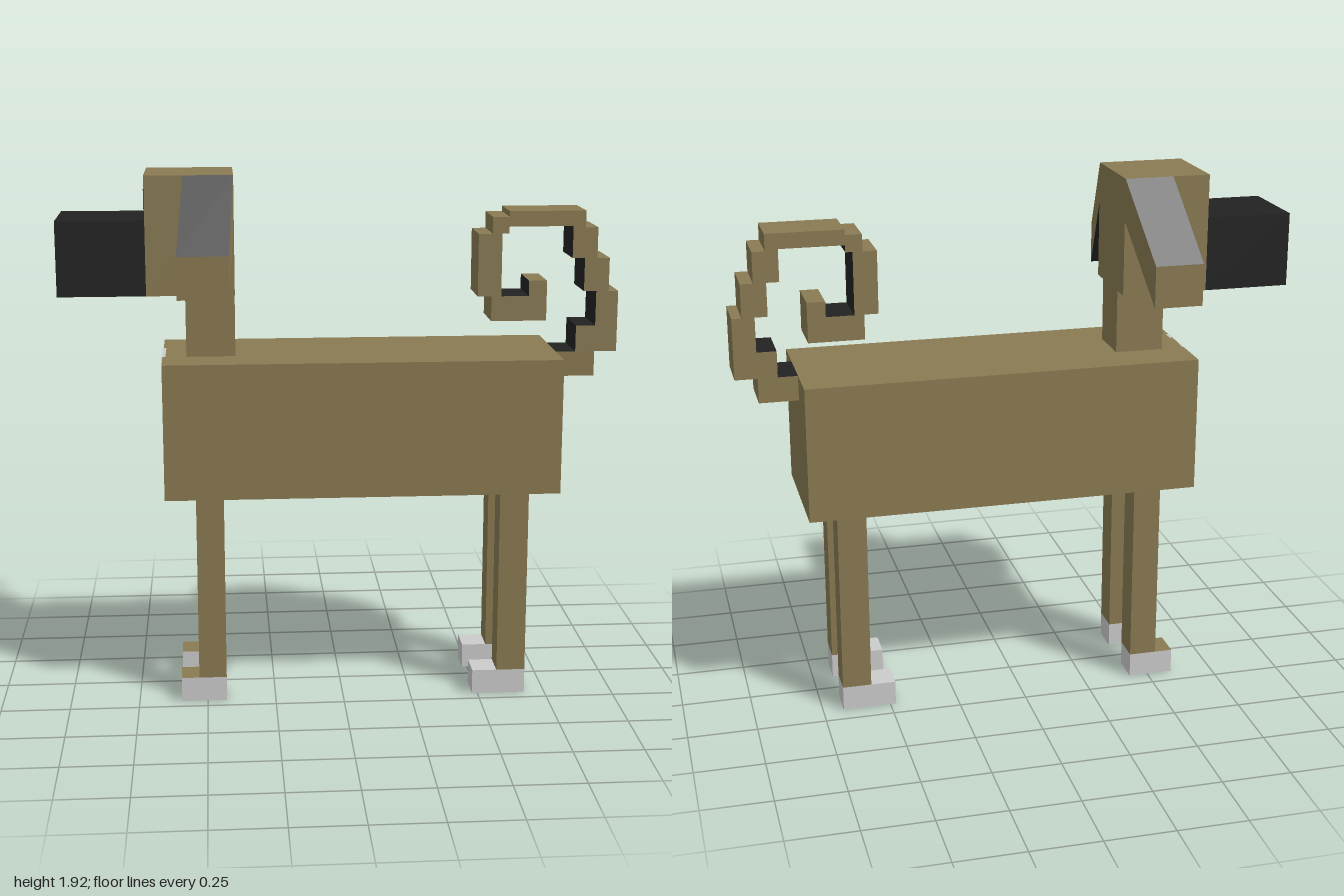
import * as THREE from 'three';

const mat = (color, side = THREE.FrontSide) =>
  new THREE.MeshStandardMaterial({ color, side, flatShading: true });
const brown = mat(0x897a52), black = mat(0x222222), grey = mat(0xcccccc);
const brownThin = mat(0x897a52, THREE.DoubleSide), blackThin = mat(0x222222, THREE.DoubleSide);

// Box from its limits; material may be a list in the order +x -x +y -y +z -z
function box(name, [x0, x1], [y0, y1], [z0, z1], material) {
  const mesh = new THREE.Mesh(new THREE.BoxGeometry(x1 - x0, y1 - y0, z1 - z0), material);
  mesh.position.set((x0 + x1) / 2, (y0 + y1) / 2, (z0 + z1) / 2);
  mesh.name = name;
  return mesh;
}

// Ear slab: a box whose corners move from the head side to the drooping tip
function ear(name, side, rootZ, tipZ, tipX, tipTop) {
  const g = new THREE.BoxGeometry(1, 1, 1), p = g.attributes.position;
  for (let i = 0; i < p.count; i++) {
    const atTip = p.getZ(i) * side > 0;
    const [x0, x1] = atTip ? tipX : [-0.555, -0.38];
    const top = atTip ? tipTop : 1.92;
    p.setXYZ(i, p.getX(i) < 0 ? x0 : x1, p.getY(i) > 0 ? top : top - 0.15, atTip ? tipZ : rootZ);
  }
  g.computeVertexNormals();
  const mesh = new THREE.Mesh(g, [brown, brown, black, black, brown, brown]);
  mesh.name = name;
  return mesh;
}

// Wall along a path, spanning the tail's width
function wall(name, path, z0, z1, material) {
  const pos = [];
  for (let i = 0; i + 1 < path.length; i++) {
    const [a, b] = path[i], [c, d] = path[i + 1];
    pos.push(a, b, z0, c, d, z0, c, d, z1, a, b, z0, c, d, z1, a, b, z1);
  }
  const g = new THREE.BufferGeometry();
  g.setAttribute('position', new THREE.Float32BufferAttribute(pos, 3));
  g.computeVertexNormals();
  const mesh = new THREE.Mesh(g, material);
  mesh.name = name;
  return mesh;
}

// Curled, stepped tail with a dark inner side
function makeTail() {
  const outer = [
    [0.78, 1.18], [0.92, 1.18], [0.92, 1.27], [1, 1.27], [1, 1.49], [0.965, 1.49], [0.965, 1.61],
    [0.92, 1.61], [0.92, 1.72], [0.875, 1.72], [0.875, 1.78], [0.6, 1.78], [0.6, 1.76], [0.54, 1.76],
    [0.54, 1.7], [0.49, 1.7], [0.49, 1.475], [0.54, 1.475], [0.54, 1.385], [0.74, 1.385],
    [0.74, 1.53], [0.675, 1.53],
  ];
  const inner = [
    [0.675, 1.53], [0.675, 1.475], [0.575, 1.475], [0.575, 1.7], [0.6, 1.7], [0.6, 1.725],
    [0.83, 1.725], [0.83, 1.61], [0.875, 1.61], [0.875, 1.49], [0.92, 1.49], [0.92, 1.365],
    [0.85, 1.365], [0.85, 1.27], [0.78, 1.27],
  ];
  const z0 = -0.08, z1 = 0.095;
  const tail = new THREE.Group();
  tail.name = 'tail';
  const shape = new THREE.Shape([...outer, ...inner.slice(1)].map(([x, y]) => new THREE.Vector2(x, y)));
  for (const z of [z0, z1]) {
    const side = new THREE.Mesh(new THREE.ShapeGeometry(shape), brownThin);
    side.position.z = z;
    side.name = 'tailSide';
    tail.add(side);
  }
  tail.add(wall('tailOuter', outer, z0, z1, brownThin), wall('tailInner', inner, z0, z1, blackThin));
  return tail;
}

export function createModel() {
  const dog = new THREE.Group();
  dog.name = 'dog';
  const mid = [-0.08, 0.095], headZ = [-0.148, 0.16];

  // Body, chest stripe and neck with a pale front
  dog.add(
    box('body', [-0.64, 0.78], [0.78, 1.27], [-0.24, 0.25], brown),
    box('chestStripe', [-0.643, -0.63], [0.78, 1.27], mid, grey),
    box('neck', [-0.555, -0.38], [1.27, 1.5], mid, [brown, grey, brown, brown, brown, brown]),
  );

  // Head
  const head = new THREE.Group();
  head.name = 'head';
  head.add(
    box('skull', [-0.69, -0.38], [1.5, 1.92], headZ, brown),
    box('snout', [-1, -0.69], [1.5, 1.765], headZ, black),
    ear('leftEar', 1, 0.16, 0.322, [-0.58, -0.4], 1.66),
    ear('rightEar', -1, -0.148, -0.325, [-0.615, -0.44], 1.645),
  );
  for (const z of [[-0.115, -0.045], [0.06, 0.13]])
    head.add(box('eye', [-0.693, -0.68], [1.8, 1.87], z, black));
  dog.add(head);

  // Legs and feet, toes pointing towards -x
  for (const z of [[0.09, 0.2], [-0.18, -0.07]]) {
    dog.add(
      box('frontLeg', [-0.53, -0.43], [0.09, 0.78], z, brown),
      box('frontFoot', [-0.595, -0.43], [0, 0.09], z, [grey, grey, brown, grey, grey, grey]),
      box('hindLeg', [0.57, 0.675], [0.09, 0.78], z, brown),
      box('hindFoot', [0.48, 0.675], [0, 0.09], z, grey),
    );
  }

  dog.add(makeTail());
  return dog;
}
